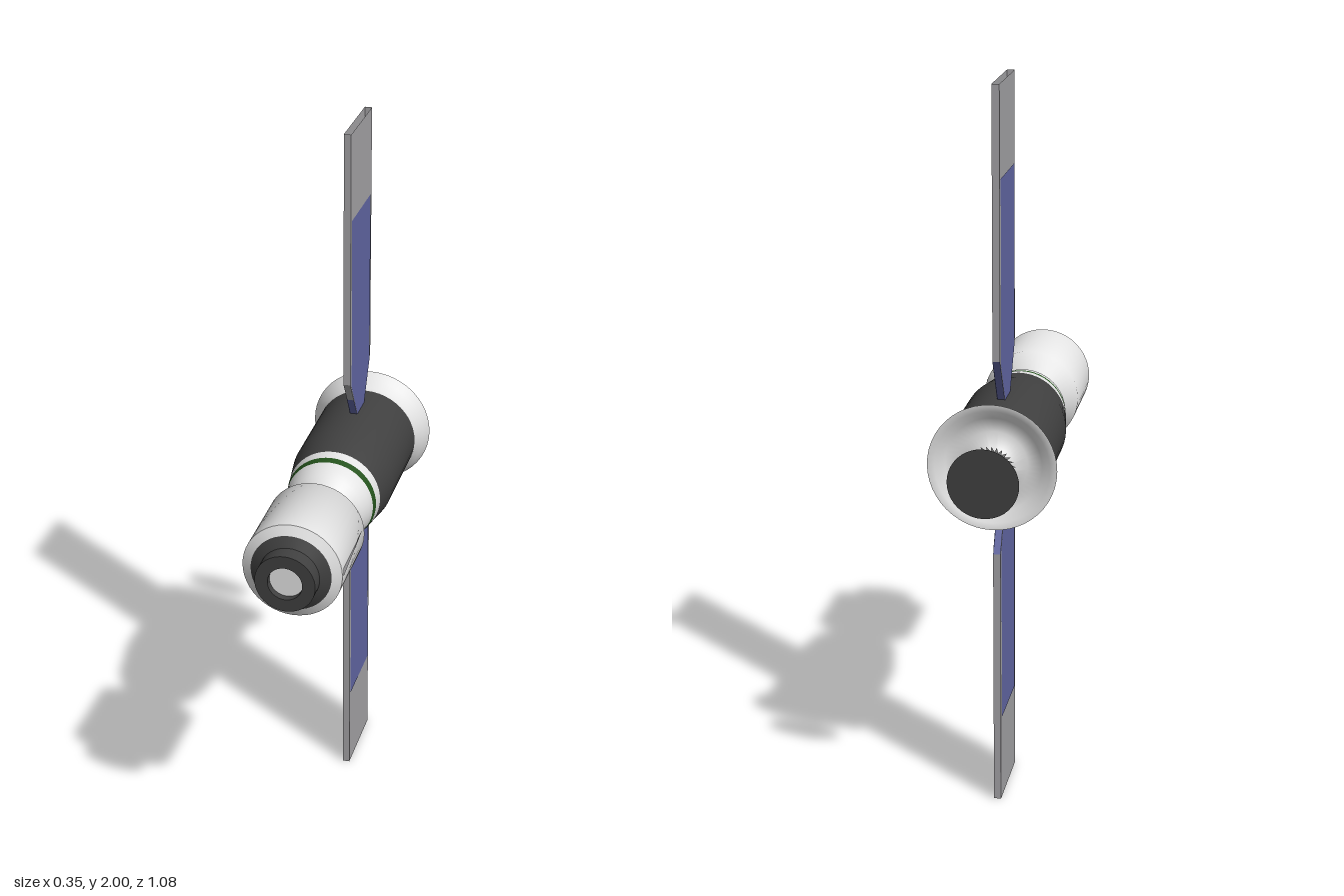
import * as THREE from 'three';
import { toCreasedNormals } from 'three/addons/utils/BufferGeometryUtils.js';

const material = (name, color, side = THREE.FrontSide) => {
  const m = new THREE.MeshStandardMaterial({ color, side });
  m.name = name;
  return m;
};

export function createModel() {
  const white = material('white hull', 0xe4e4e4, THREE.DoubleSide);
  const dark = material('charcoal', 0x404040, THREE.DoubleSide);
  const green = material('green stripe', 0x24521c);
  const grey = material('panel grey', 0xa4a3a6, THREE.DoubleSide);
  const blue = material('solar blue', 0x6166a3, THREE.DoubleSide);

  const model = new THREE.Group();
  const add = (parent, name, geometry, mat) => {
    const mesh = new THREE.Mesh(geometry, mat);
    mesh.name = name;
    parent.add(mesh);
    return mesh;
  };

  // Hull: turned sections along z, each profile is [radius, z] from back to front
  const hull = new THREE.Group();
  hull.name = 'hull';
  hull.position.y = 1;
  model.add(hull);
  const turned = (name, mat, profile, crease = 1.0) => {
    const g = new THREE.LatheGeometry(profile.map(([r, z]) => new THREE.Vector2(r, z)), 48);
    g.rotateX(Math.PI / 2);
    add(hull, name, toCreasedNormals(g, crease), mat);
  };
  turned('engineSkirt', white, [
    [0.04, -0.41], [0.055, -0.395], [0.09, -0.375], [0.13, -0.385], [0.155, -0.408],
    [0.174, -0.41], [0.16, -0.383], [0.146, -0.358], [0.145, -0.34]]);
  turned('serviceModule', dark, [[0.145, -0.34], [0.145, -0.06], [0.131, 0.03]]);
  turned('rearBand', white, [[0.131, 0.03], [0.127, 0.06]]);
  turned('greenBand', green, [[0.127, 0.06], [0.123, 0.08]]);
  turned('descentModule', white, [
    [0.123, 0.08], [0.118, 0.108], [0.108, 0.132], [0.094, 0.152], [0.082, 0.168], [0.081, 0.19]]);
  turned('orbitalModule', white, [
    [0.081, 0.19], [0.136, 0.23], [0.136, 0.467], [0.11, 0.48]]);
  turned('dockingCollar', dark, [
    [0.11, 0.48], [0.082, 0.495], [0.082, 0.54], [0.047, 0.54], [0.047, 0.52]], 0.5);
  turned('dockingHatch', white, [[0.047, 0.52], [0, 0.52]]);

  // Sheet in the side plane from [z, y] corners, placed at x
  const sheet = (parent, name, mat, corners, x) => {
    const g = new THREE.ShapeGeometry(new THREE.Shape(corners.map(([z, y]) => new THREE.Vector2(z, y))));
    g.rotateY(-Math.PI / 2);
    g.translate(x, 0, 0);
    return add(parent, name, g, mat);
  };

  // Slim wedge on the side of the forward module
  sheet(hull, 'sideWedge', grey, [[0.467, 0.0], [0.467, 0.026], [0.26, 0.03]], 0.138);

  // Serrated nozzle crown
  const teeth = 32, position = [], index = [];
  for (let i = 0; i <= teeth * 2; i++) {
    const a = (i / (teeth * 2)) * Math.PI * 2;
    const [r, z] = i % 2 ? [0.075, -0.455] : [0.052, -0.426];
    position.push(0.04 * Math.cos(a), 0.04 * Math.sin(a), -0.41, r * Math.cos(a), r * Math.sin(a), z);
    if (i) index.push(2 * i - 2, 2 * i - 1, 2 * i, 2 * i, 2 * i - 1, 2 * i + 1);
  }
  const crown = new THREE.BufferGeometry();
  crown.setAttribute('position', new THREE.Float32BufferAttribute(position, 3));
  crown.setIndex(index);
  crown.computeVertexNormals();
  add(hull, 'nozzleCrown', crown, white);

  // Thin rear dish
  const dish = add(hull, 'rearDish', new THREE.CircleGeometry(0.095, 40), dark);
  dish.rotation.y = Math.PI;
  dish.position.z = -0.54;

  // Solar wings: hollow frames, open at the tip, with blue cells on both faces
  const half = 0.01;
  const wall = (parent, name, mat, [z0, y0], [z1, y1]) => {
    const g = new THREE.PlaneGeometry(2 * half, 1);
    const p = g.attributes.position;
    for (let i = 0; i < 4; i++) {
      const [z, y] = i < 2 ? [z1, y1] : [z0, y0];
      p.setXYZ(i, p.getX(i), y, z);
    }
    g.computeVertexNormals();
    add(parent, name, g, mat);
  };
  for (const [name, turn] of [['upperWing', 0], ['lowerWing', Math.PI]]) {
    const wing = new THREE.Group();
    wing.name = name;
    wing.position.y = 1;
    wing.rotation.z = turn;
    model.add(wing);
    for (const s of [-1, 1]) {
      sheet(wing, 'wingFace', grey, [
        [-0.11, 1], [-0.11, 0.27], [-0.19, 0.14], [-0.265, 0.14], [-0.34, 0.27], [-0.34, 1]], s * half);
      sheet(wing, 'solarCells', blue, [
        [-0.12, 0.755], [-0.12, 0.26], [-0.19, 0.14], [-0.265, 0.14], [-0.328, 0.255], [-0.328, 0.755]],
      s * (half + 0.001));
    }
    wall(wing, 'frontEdge', grey, [-0.11, 0.27], [-0.11, 1]);
    wall(wing, 'backEdge', grey, [-0.34, 0.27], [-0.34, 1]);
    wall(wing, 'frontTaper', grey, [-0.15, 0.205], [-0.11, 0.27]);
    wall(wing, 'frontRoot', blue, [-0.19, 0.14], [-0.15, 0.205]);
    wall(wing, 'backRoot', blue, [-0.265, 0.14], [-0.34, 0.27]);
  }
  return model;
}
